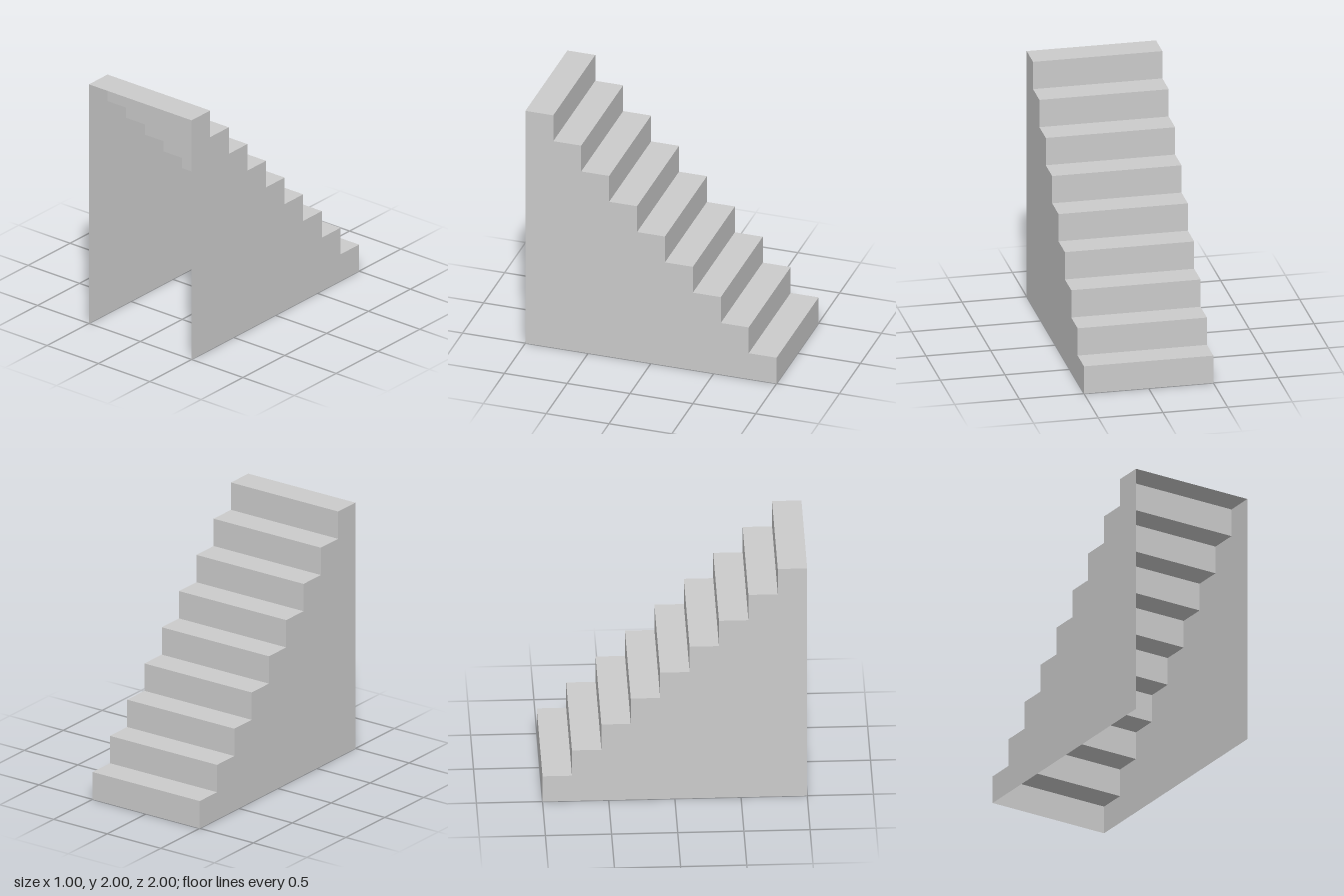
import * as THREE from 'three';

const STEPS = 9, WIDTH = 1, SIZE = 2;
const STEP = SIZE / STEPS; // rise and run are equal

export function createModel() {
  const group = new THREE.Group();
  group.name = 'staircase';
  const material = new THREE.MeshStandardMaterial({
    color: 0xcccccc, flatShading: true, side: THREE.DoubleSide,
  });
  const add = (name, geometry) => {
    const mesh = new THREE.Mesh(geometry, material);
    mesh.name = name;
    group.add(mesh);
    return mesh;
  };

  // Thin risers and treads, climbing from the back (-z) to the front (+z)
  const riser = new THREE.PlaneGeometry(WIDTH, STEP).rotateY(Math.PI);
  const tread = new THREE.PlaneGeometry(WIDTH, STEP).rotateX(-Math.PI / 2);
  for (let i = 0; i < STEPS; i++) {
    const z = -SIZE / 2 + i * STEP;
    add(`riser${i + 1}`, riser).position.set(0, (i + 0.5) * STEP, z);
    add(`tread${i + 1}`, tread).position.set(0, (i + 1) * STEP, z + STEP / 2);
  }

  // Stepped side walls; the front and the underside stay open
  const profile = new THREE.Shape();
  profile.moveTo(SIZE / 2, 0);
  profile.lineTo(-SIZE / 2, 0);
  for (let i = 0; i < STEPS; i++) {
    const z = -SIZE / 2 + i * STEP;
    profile.lineTo(z, (i + 1) * STEP);
    profile.lineTo(z + STEP, (i + 1) * STEP);
  }
  profile.closePath();
  const wall = new THREE.ShapeGeometry(profile).rotateY(-Math.PI / 2);
  add('rightWall', wall).position.x = -WIDTH / 2;

  // Mirrored wall, facing outward on the left
  const leftWall = wall.clone().scale(-1, 1, 1);
  leftWall.setIndex(Array.from(wall.index.array).reverse());
  leftWall.computeVertexNormals();
  add('leftWall', leftWall).position.x = WIDTH / 2;

  return group;
}
